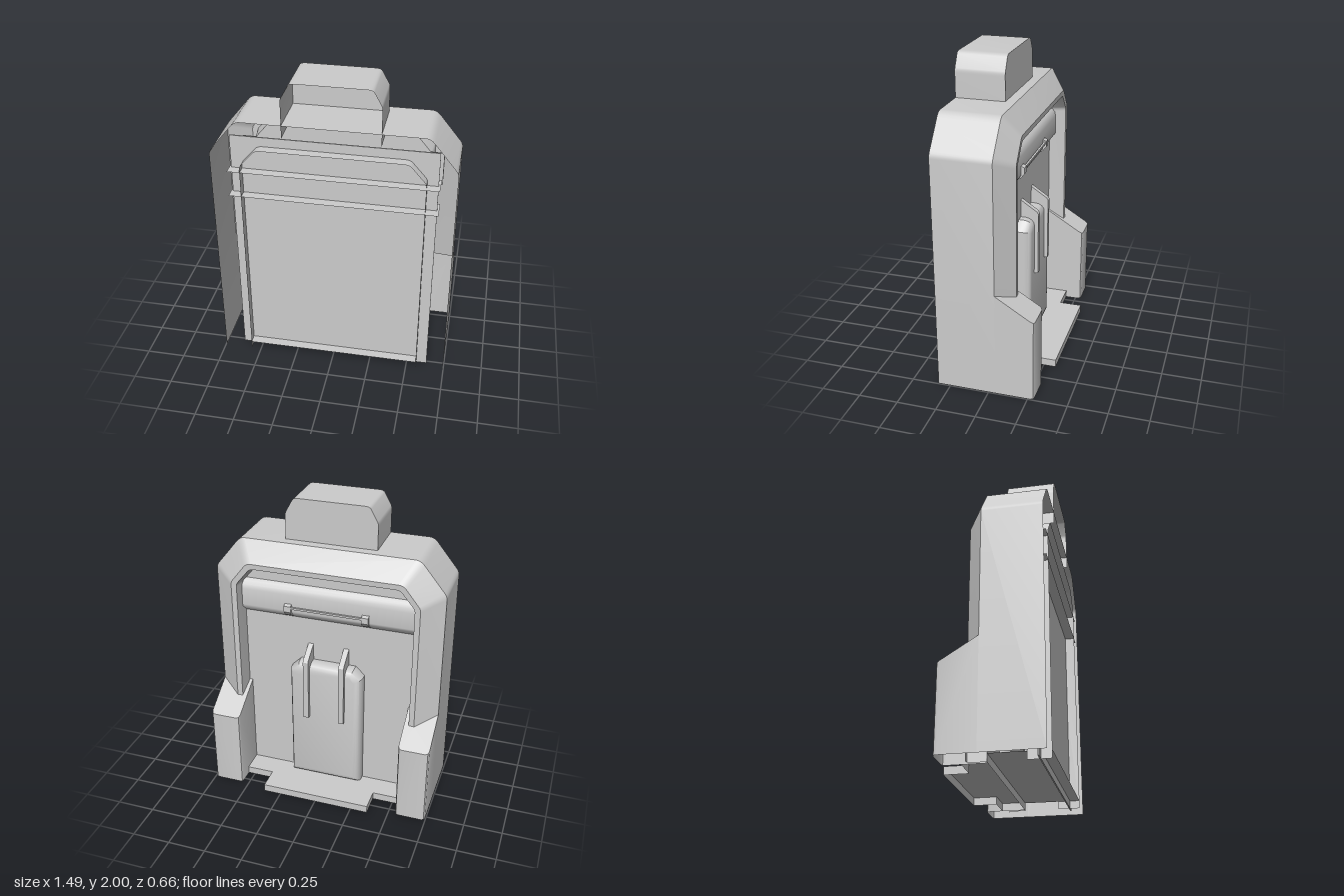
import * as THREE from 'three';
import { toCreasedNormals } from 'three/addons/utils/BufferGeometryUtils.js';

const grey = new THREE.MeshStandardMaterial({ color: 0xcccccc, side: THREE.DoubleSide });
grey.name = 'plain grey';

// Arch outline: straight sides, sloped shoulders with softened corners, flat top
function arch(w, shoulder, topW, top, base = 0) {
  const corner = (a, b, t) => [a[0] + (b[0] - a[0]) * t, a[1] + (b[1] - a[1]) * t];
  const p = new THREE.Path();
  const s = [w, shoulder], t = [topW, top];
  p.moveTo(w, base);
  p.lineTo(w, shoulder - 0.02);
  p.quadraticCurveTo(...s, ...corner(s, t, 0.1));
  p.lineTo(...corner(s, t, 0.85));
  p.quadraticCurveTo(...t, topW - 0.03, top);
  const half = p.getPoints(4);
  return [...half, ...half.map(q => new THREE.Vector2(-q.x, q.y)).reverse()];
}
const at = (pts, z) => pts.map(p => new THREE.Vector3(p.x, p.y, z));

// Surface strip through rows of 3D points
function loft(...rows) {
  const pos = [];
  for (let r = 0; r + 1 < rows.length; r++) {
    const a = rows[r], b = rows[r + 1];
    for (let i = 0; i + 1 < a.length; i++) {
      for (const v of [a[i], a[i + 1], b[i], a[i + 1], b[i + 1], b[i]]) pos.push(v.x, v.y, v.z);
    }
  }
  const g = new THREE.BufferGeometry();
  g.setAttribute('position', new THREE.Float32BufferAttribute(pos, 3));
  return toCreasedNormals(g, 0.5);
}

const toShape = pts => new THREE.Shape(pts.map(p => new THREE.Vector2(p[0], p[1])));

// Side profile of (z, y) points extruded along x
function extrudeX(pts, width) {
  const g = new THREE.ExtrudeGeometry(toShape(pts), { depth: width, bevelEnabled: false });
  return g.translate(0, 0, -width / 2).rotateY(-Math.PI / 2);
}

// Flat sheet over an outline of (x, z) points, its height given by a rule
function sheet(pts, height) {
  const g = new THREE.ShapeGeometry(toShape(pts));
  const q = g.attributes.position;
  for (let i = 0; i < q.count; i++) q.setXYZ(i, q.getX(i), height(q.getY(i)), q.getY(i));
  g.computeVertexNormals();
  return g;
}
const rect = (w, z0, z1) => [[-w, z0], [w, z0], [w, z1], [-w, z1]];

// Upright wall along (x, z) points, from the ground to a height rule
const fence = (pts, height) => loft(pts.map(([x, z]) => new THREE.Vector3(x, 0, z)),
  pts.map(([x, z]) => new THREE.Vector3(x, height(z), z)));

export function createModel() {
  const model = new THREE.Group();
  const add = (name, geometry, x = 0, y = 0, z = 0) => {
    const m = new THREE.Mesh(geometry, grey);
    m.name = name;
    m.position.set(x, y, z);
    model.add(m);
  };
  const box = (name, x0, x1, y0, y1, z0, z1) => add(name,
    new THREE.BoxGeometry(x1 - x0, y1 - y0, z1 - z0), (x0 + x1) / 2, (y0 + y1) / 2, (z0 + z1) / 2);

  // Outer shell, bevelled frame with a flat lip, and recess
  const back = -0.03;
  const outer = arch(0.745, 1.52, 0.575, 1.73);
  add('outerShell', loft(at(outer, 0.33), at(outer, -0.045)));
  add('bevelFrame', loft(at(arch(0.745, 1.52, 0.575, 1.73, 0.68), -0.045),
    at(arch(0.61, 1.46, 0.5, 1.6, 0.62), -0.142)));
  const opening = arch(0.575, 1.45, 0.48, 1.565);
  const recess = arch(0.565, 1.44, 0.47, 1.555);
  add('recessWall', loft(at(arch(0.61, 1.46, 0.5, 1.6), -0.142), at(opening, -0.14), at(recess, back)));
  add('recessPanel', new THREE.ShapeGeometry(new THREE.Shape(recess)), 0, 0, back);

  // Hollow handle on top, open at the front
  const handle = arch(0.295, 1.9, 0.24, 2, 1.65);
  add('handleWall', loft(at(handle, 0.33), at(handle, 0.018)));
  add('handleBack', new THREE.ShapeGeometry(new THREE.Shape(handle)), 0, 0, 0.018);

  // Hollow legs with sloped tops
  const slope = z => 0.53 + (z + 0.288) * 0.617;
  for (const s of [1, -1]) {
    const wall = [[0.745, -0.045], [0.745, -0.265], [0.738, -0.282], [0.722, -0.288],
      [0.568, -0.288], [0.552, -0.282], [0.545, -0.265], [0.545, back]].map(([x, z]) => [s * x, z]);
    add('legWall', fence(wall, slope));
    add('legSlope', sheet([...wall, [s * 0.575, back], [s * 0.61, -0.14]], slope));
  }

  // Inner panel with rim and shelf ribs standing out from it
  box('innerPanel', -0.633, 0.633, 0, 1.61, 0.26, 0.268);
  const rim = arch(0.565, 1.43, 0.46, 1.55);
  add('panelRim', loft(at(rim, 0.19), at(rim, 0.33)));
  for (const y of [1.22, 1.39]) add('panelShelf', sheet(rect(0.645, 0.19, 0.33), () => y));
  add('panelFloor', sheet(rect(0.565, back, 0.33), () => 0.05));

  // Bottom plate with a tab, hollow underneath
  const plate = [[0.545, back], [0.545, -0.18], [0.365, -0.18], [0.365, -0.33],
    [-0.365, -0.33], [-0.365, -0.18], [-0.545, -0.18], [-0.545, back]];
  add('bottomPlateEdge', fence(plate, () => 0.05));
  add('bottomPlate', sheet(plate, () => 0.05));

  // Lip across the recess with two clips and a rod
  add('recessLip', toCreasedNormals(extrudeX([[back, 1.225], [-0.07, 1.265], [-0.073, 1.28], [-0.072, 1.39],
    [-0.065, 1.42], [-0.05, 1.44], [back, 1.455]], 1.28), 0.6));
  for (const x of [-0.255, 0.255]) {
    add('lipClip', extrudeX([[back, 1.23], [-0.07, 1.25], [-0.095, 1.28], [-0.095, 1.32], [-0.07, 1.33]], 0.045), x);
  }
  box('clipRod', -0.255, 0.255, 1.3, 1.313, -0.09, -0.077);

  // Rounded central block with two upright ribs
  const block = new THREE.ExtrudeGeometry(toShape([[-0.195, 0.1], [0.195, 0.1], [0.195, 0.85],
    [0.165, 0.88], [-0.165, 0.88], [-0.195, 0.85]]),
  { depth: 0.03, bevelThickness: 0.06, bevelSize: 0.05, bevelSegments: 4 });
  add('centreBlock', toCreasedNormals(block, 0.6), 0, 0, -0.06);
  for (const x of [-0.12, 0.12]) {
    add('blockRib', extrudeX([[-0.145, 0.54], [-0.145, 0.96], [-0.135, 0.975], [back, 1.045], [back, 0.54]], 0.035), x);
  }
  return model;
}
